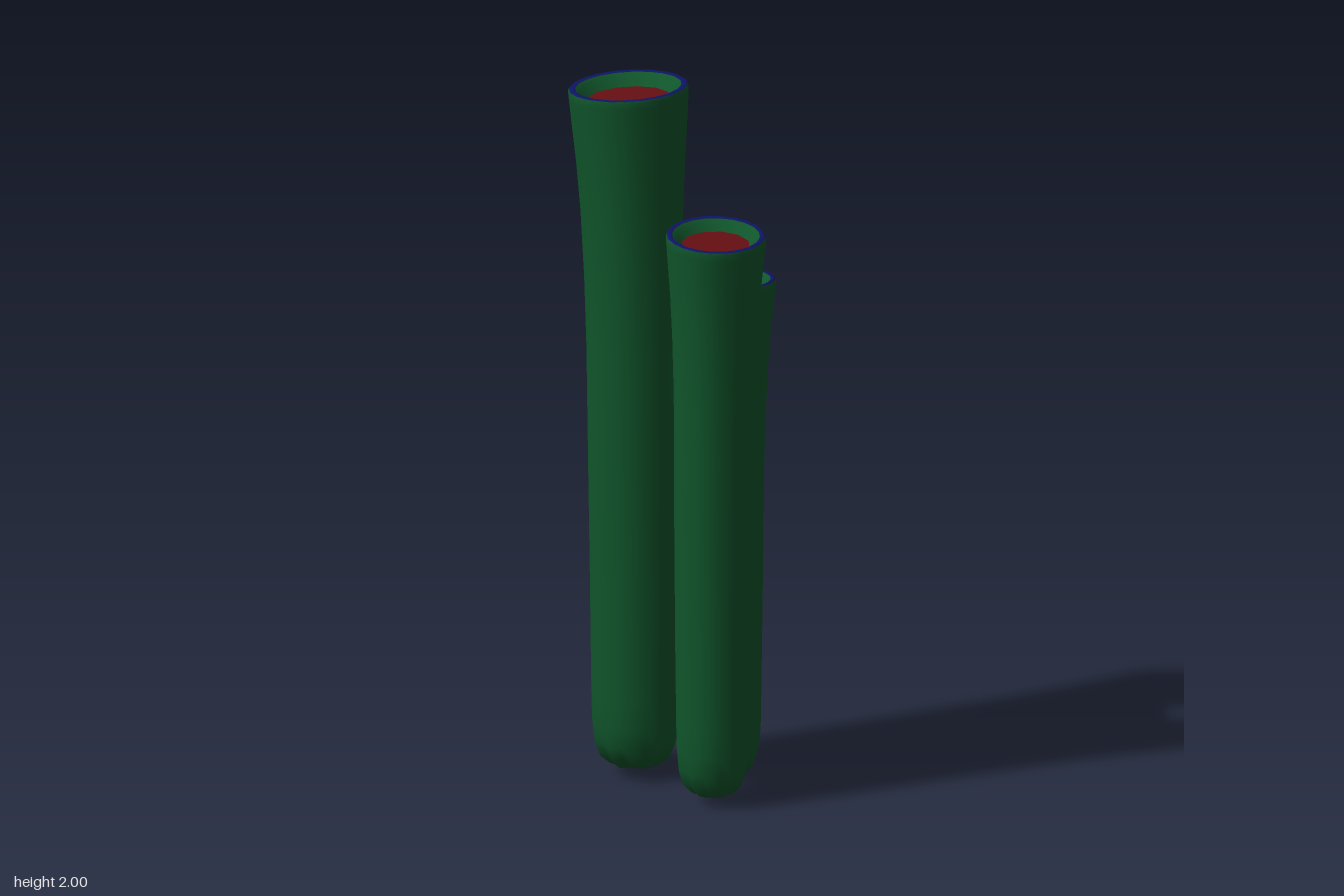
import * as THREE from 'three';
import { mergeVertices } from 'three/addons/utils/BufferGeometryUtils.js';

const mat = (color) => new THREE.MeshStandardMaterial({ color, roughness: 0.9 });
const green = mat(0x10552b), blue = mat(0x0f1466), red = mat(0x660f12);

// base = [x, z] at the foot, top = [x, z] at the mouth, tilt = direction the mouth leans to
const TUBES = [
  { name: 'tallTube', height: 1.987, foot: 0.016, radius: 0.167, base: [-0.04, -0.15], top: [-0.053, -0.167], tilt: [0, -1] },
  { name: 'middleTube', height: 1.645, foot: 0.014, radius: 0.138, base: [-0.097, 0.18], top: [-0.1, 0.193], tilt: [-0.55, 0.83] },
  { name: 'shortTube', height: 1.443, foot: 0, radius: 0.122, base: [0.1, 0.065], top: [0.117, 0.063], tilt: [1, 0] },
];

// Lathe a profile of [radius, y], then bend it along the tube's leaning axis
function bentLathe(tube, profile, sides) {
  const { height: H, radius: R, base, top, tilt, foot } = tube;
  let g = new THREE.LatheGeometry(profile.map(([r, y]) => new THREE.Vector2(r, y)), sides);
  g.deleteAttribute('uv');
  g.deleteAttribute('normal');
  g = mergeVertices(g, 1e-5);
  const p = g.attributes.position;
  for (let i = 0; i < p.count; i++) {
    let x = p.getX(i), y = p.getY(i), z = p.getZ(i);
    const r = Math.hypot(x, z), a = Math.atan2(z, x);
    // shallow lobes around the rounded foot
    const low = 1 - THREE.MathUtils.smoothstep(y, foot + 0.02, foot + 0.16);
    const lobe = Math.cos(a * 10) * low * Math.min(1, r / (0.4 * R));
    x *= 1 + 0.05 * lobe;
    z *= 1 + 0.05 * lobe;
    y -= 0.04 * R * lobe;
    // the mouth leans outward
    const s = THREE.MathUtils.smoothstep(y, 0.7 * H, H);
    y -= 0.075 * s * (x * tilt[0] + z * tilt[1]);
    const t = Math.min(1, Math.max(0, y / H)) ** 3;
    p.setXYZ(i,
      x + THREE.MathUtils.lerp(base[0], top[0], t), y,
      z + THREE.MathUtils.lerp(base[1], top[1], t));
  }
  g.computeVertexNormals();
  return g;
}

function makeTube(tube) {
  const { height: H, radius: R, foot: f } = tube;
  const group = new THREE.Group();
  group.name = tube.name;
  const add = (name, material, profile, sides = 20) => {
    const mesh = new THREE.Mesh(bentLathe(tube, profile, sides), material);
    mesh.name = name;
    group.add(mesh);
  };
  const floor = H - 0.2 * R;

  // outer wall: rounded foot, slim body, flared mouth
  add('outerWall', green, [
    [0, f], [0.2 * R, f + 0.008], [0.4 * R, f + 0.022], [0.57 * R, f + 0.045],
    [0.68 * R, f + 0.085], [0.73 * R, f + 0.14], [0.74 * R, f + 0.22],
    [0.76 * R, 0.28 * H], [0.785 * R, 0.5 * H], [0.79 * R, 0.62 * H],
    [0.81 * R, 0.72 * H], [0.85 * R, 0.82 * H], [0.9 * R, 0.89 * H],
    [0.96 * R, 0.95 * H], [0.995 * R, H - 0.025], [R, H - 0.008], [0.985 * R, H],
  ]);
  // coloured lip
  add('rim', blue, [[0.99 * R, H - 0.002], [0.95 * R, H + 0.003], [0.88 * R, H]]);
  // inner wall sloping to the floor
  add('innerWall', green, [
    [0.88 * R, H], [0.86 * R, H - 0.004], [0.84 * R, H - 0.03 * R],
    [0.77 * R, H - 0.12 * R], [0.64 * R, floor - 0.01],
  ]);
  // sunken floor of the mouth
  add('mouthFloor', red, [[0.69 * R, floor], [0, floor]], 12);
  return group;
}

export function createModel() {
  const model = new THREE.Group();
  model.name = 'tubeCluster';
  for (const tube of TUBES) model.add(makeTube(tube));
  return model;
}
